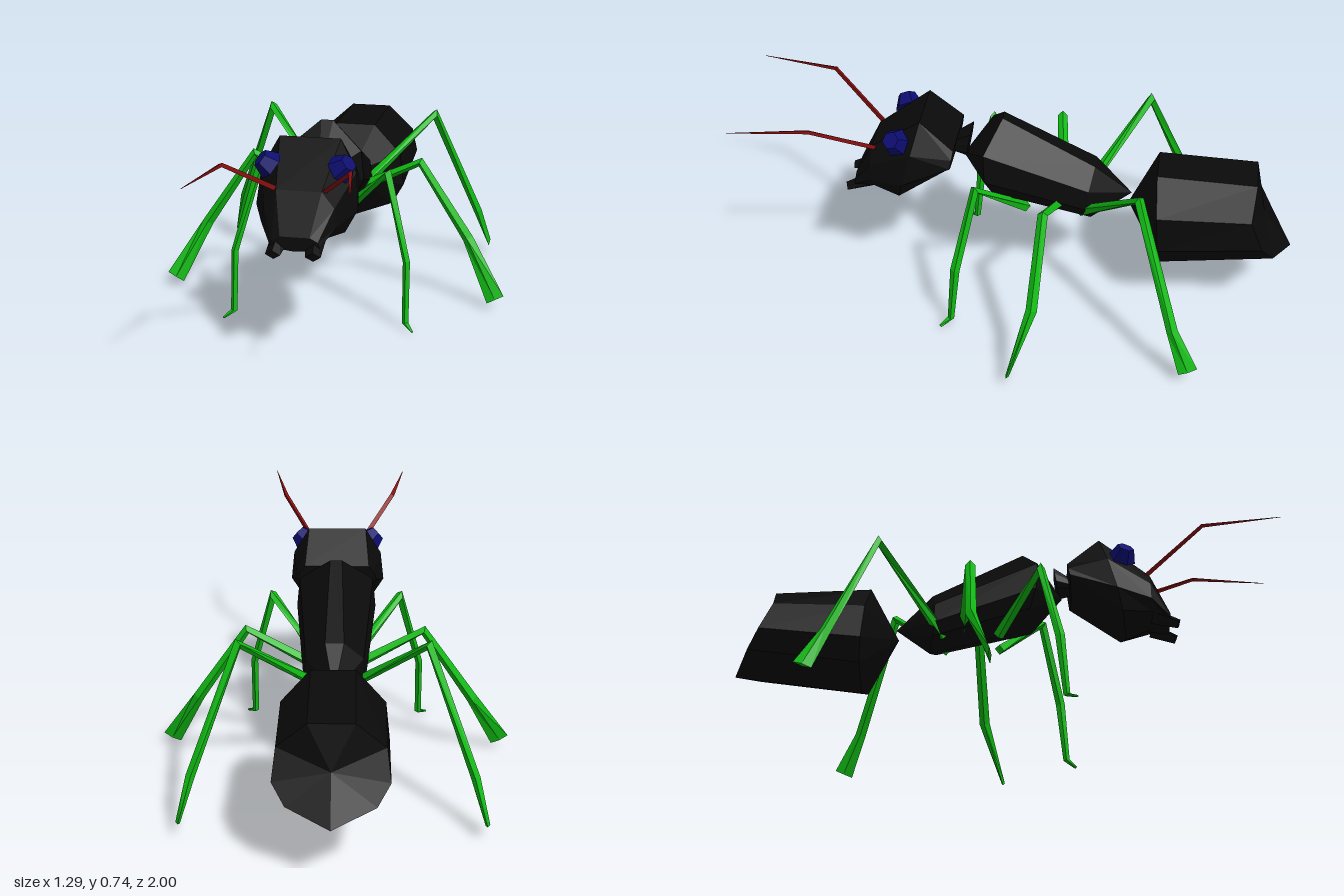
import * as THREE from 'three';

const mat = (color) => new THREE.MeshStandardMaterial({ color, flatShading: true, side: THREE.DoubleSide });
const V = (x, y, z) => new THREE.Vector3(x, y, z);

// Skin a list of equal-length closed rings and close both ends; faces point outwards.
function loft(rings) {
  const tris = [], n = rings[0].length;
  const centre = (r) => r.reduce((a, p) => a.add(p), V(0, 0, 0)).divideScalar(n);
  const add = (a, b, c) => {
    const area = b.clone().sub(a).cross(c.clone().sub(a)).length();
    if (area > 1e-7) tris.push([a, b, c]);
  };
  for (let i = 0; i + 1 < rings.length; i++) {
    for (let j = 0; j < n; j++) {
      const k = (j + 1) % n, A = rings[i], B = rings[i + 1];
      add(A[j], A[k], B[k]);
      add(A[j], B[k], B[j]);
    }
  }
  const first = rings[0], last = rings[rings.length - 1];
  const c0 = centre(first), c1 = centre(last);
  for (let j = 0; j < n; j++) {
    const k = (j + 1) % n;
    add(c0, first[k], first[j]);
    add(c1, last[j], last[k]);
  }
  const mid = centre(rings.map(centre).slice(0, n));
  const volume = tris.reduce((s, [a, b, c]) => s + a.clone().sub(mid).dot(
    b.clone().sub(mid).cross(c.clone().sub(mid))), 0);
  const points = tris.flatMap(([a, b, c]) => (volume < 0 ? [a, c, b] : [a, b, c]));
  const geo = new THREE.BufferGeometry().setFromPoints(points);
  geo.computeVertexNormals();
  return geo;
}

// Symmetric nine-sided body section from a bottom and a top point [z, y].
// w: half width, topW: share of it at the top edge, bulge: forward shift of the sides.
function section([z0, y0], [z1, y1], w, topW = 0.3, bulge = 0) {
  const half = [[0, 0], [0.77, 0.15], [1, 0.36], [0.93, 0.7], [topW, 1]];
  const at = (s) => ([x, t]) => V(s * x * w,
    y0 + (y1 - y0) * t, z0 + (z1 - z0) * t + bulge * x * (t < 1 ? 1 : 0));
  return [...half.map(at(1)), ...half.slice(1).reverse().map(at(-1))];
}
const tip = (z, y) => section([z, y], [z, y], 0);

// Faceted limb along points; radii are [across, along ref] pairs.
function limb(points, radii, ref, sides = 4) {
  return loft(points.map((p, i) => {
    const a = points[Math.max(i - 1, 0)], b = points[Math.min(i + 1, points.length - 1)];
    const dir = b.clone().sub(a).normalize();
    const u = dir.clone().cross(ref).normalize(), v = u.clone().cross(dir).normalize();
    return Array.from({ length: sides }, (_, j) => {
      const q = (j / sides) * Math.PI * 2;
      return p.clone().addScaledVector(u, Math.cos(q) * radii[i][0])
        .addScaledVector(v, Math.sin(q) * radii[i][1]);
    });
  }));
}

export function createModel() {
  const model = new THREE.Group();
  model.name = 'ant';
  const black = mat(0x0a0a0a), green = mat(0x11bb14), blue = mat(0x0c0c70), red = mat(0x8c1010);
  const put = (name, geo, material) => {
    const mesh = new THREE.Mesh(geo, material);
    mesh.name = name;
    model.add(mesh);
    return mesh;
  };

  // Body segments
  put('abdomen', loft([
    tip(-0.4, 0.385),
    section([-0.53, 0.175], [-0.5, 0.56], 0.192, 0.4),
    section([-1, 0.245], [-0.855, 0.55], 0.192, 0.4, 0.06),
  ]), black);
  put('thorax', loft([
    tip(0.205, 0.545),
    section([0.03, 0.41], [0.06, 0.722], 0.145, 0.15, 0.07),
    section([-0.285, 0.33], [-0.275, 0.55], 0.11, 0.3, 0.02),
    tip(-0.41, 0.425),
  ]), black);
  put('head', loft([
    section([0.24, 0.54], [0.225, 0.63], 0.15, 0.8),
    section([0.44, 0.375], [0.345, 0.735], 0.178, 0.6),
    section([0.53, 0.415], [0.53, 0.6], 0.13, 0.6),
    section([0.6, 0.41], [0.6, 0.46], 0.085, 0.6),
  ]), black);
  put('neck', loft([
    section([0.19, 0.555], [0.175, 0.655], 0.065, 0.7),
    section([0.25, 0.57], [0.25, 0.61], 0.04, 0.7),
  ]), black);

  // Leg joints from hip to toe, with [in-plane, fore-aft] radii
  const legs = {
    FrontLeg: {
      path: [[0.06, 0.37, -0.03], [0.235, 0.555, 0.13], [0.315, 0.25, 0.195], [0.317, 0.025, 0.215], [0.348, 0.006, 0.25]],
      radii: [[0.02, 0.02], [0.02, 0.018], [0.013, 0.017], [0.012, 0.012], [0.004, 0.006]],
    },
    MiddleLeg: {
      path: [[0.06, 0.4, -0.155], [0.315, 0.53, -0.12], [0.5, 0.25, -0.105], [0.615, 0.04, -0.035]],
      radii: [[0.02, 0.02], [0.018, 0.018], [0.02, 0.02], [0.035, 0.006]],
    },
    RearLeg: {
      path: [[0.06, 0.37, -0.23], [0.322, 0.63, -0.45], [0.485, 0.2, -0.595], [0.527, 0.055, -0.66]],
      radii: [[0.02, 0.02], [0.02, 0.018], [0.016, 0.02], [0.008, 0.035]],
    },
  };

  // Paired parts
  for (const [side, s] of [['left', 1], ['right', -1]]) {
    const path = (pts) => pts.map(([x, y, z]) => V(s * x, y, z));
    for (const [name, leg] of Object.entries(legs)) {
      put(side + name, limb(path(leg.path), leg.radii, V(0, 0, 1)), green);
    }
    put(side + 'Antenna', limb(
      path([[0.08, 0.595, 0.51], [0.213, 0.733, 0.72], [0.262, 0.735, 1]]),
      [[0.01, 0.01], [0.01, 0.008], [0.001, 0.001]], V(0, 1, 0), 3), red);
    put(side + 'Mandible', limb(
      path([[0.06, 0.44, 0.54], [0.068, 0.405, 0.63]]),
      [[0.035, 0.03], [0.026, 0.018]], V(0, 1, 0)), black);

    // Six-sided domed eye, tilted outwards and up
    const eye = put(side + 'Eye', new THREE.CylinderGeometry(0.032, 0.052, 0.05, 6), blue);
    eye.position.set(s * 0.135, 0.665, 0.435);
    eye.quaternion.setFromUnitVectors(V(0, 1, 0), V(s * 0.7, 0.6, 0.3).normalize());
  }
  return model;
}
